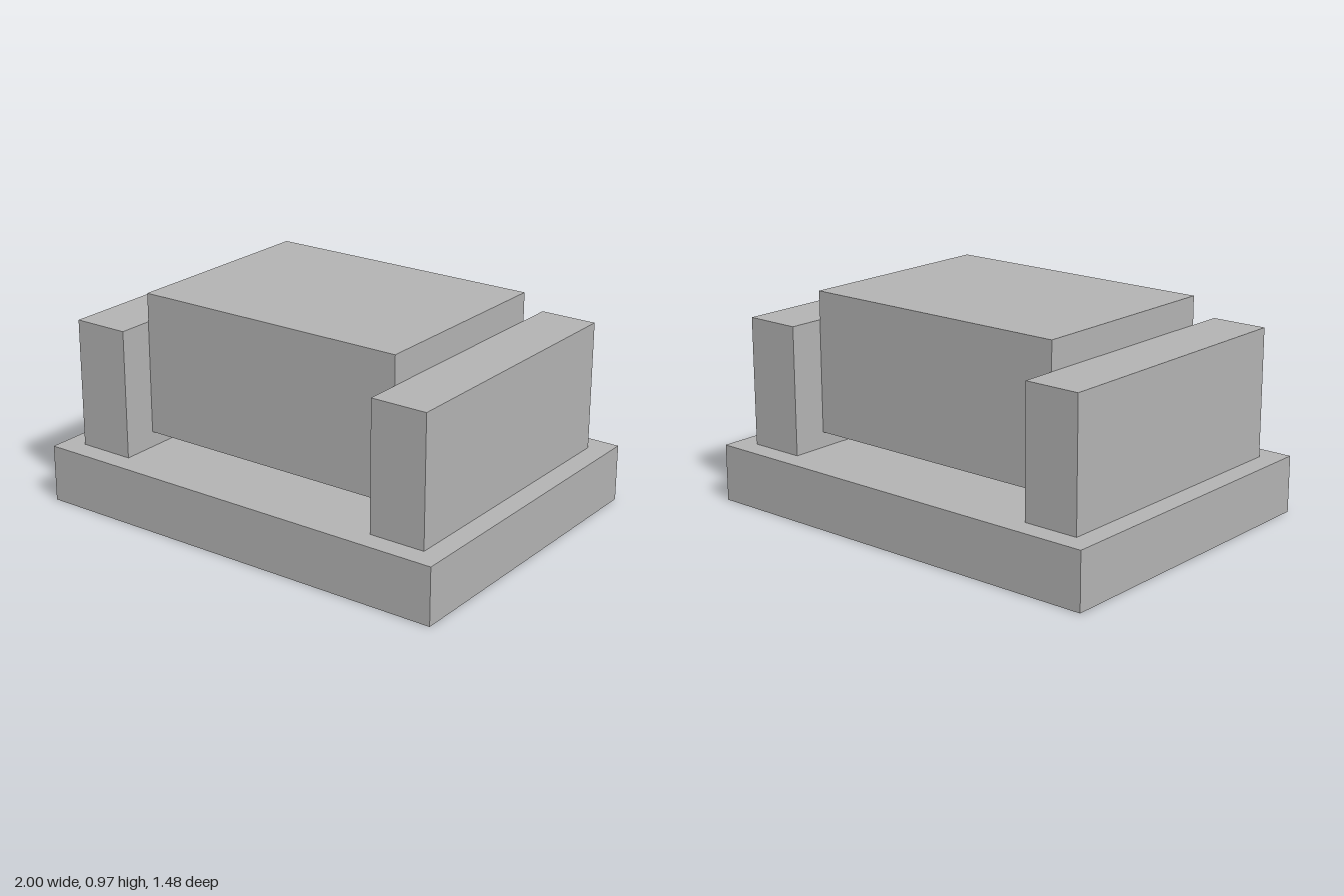
import * as THREE from 'three';

export function createModel() {
  const group = new THREE.Group();
  const grey = new THREE.MeshStandardMaterial({ color: 0xb3b3b3 });
  grey.name = 'grey';

  // Box given by its x range, y range and half depth
  function block(name, x0, x1, y0, y1, halfDepth) {
    const mesh = new THREE.Mesh(new THREE.BoxGeometry(x1 - x0, y1 - y0, halfDepth * 2), grey);
    mesh.position.set((x0 + x1) / 2, (y0 + y1) / 2, 0);
    mesh.name = name;
    group.add(mesh);
  }

  // Base slab
  block('base', -1, 1, 0, 0.258, 0.742);

  // Upright supports at both ends
  block('leftSupport', 0.645, 0.903, 0.258, 0.839, 0.645);
  block('rightSupport', -0.903, -0.645, 0.258, 0.839, 0.645);

  // Body held between the supports, clear of the base
  block('body', -0.645, 0.645, 0.328, 0.968, 0.484);

  return group;
}
